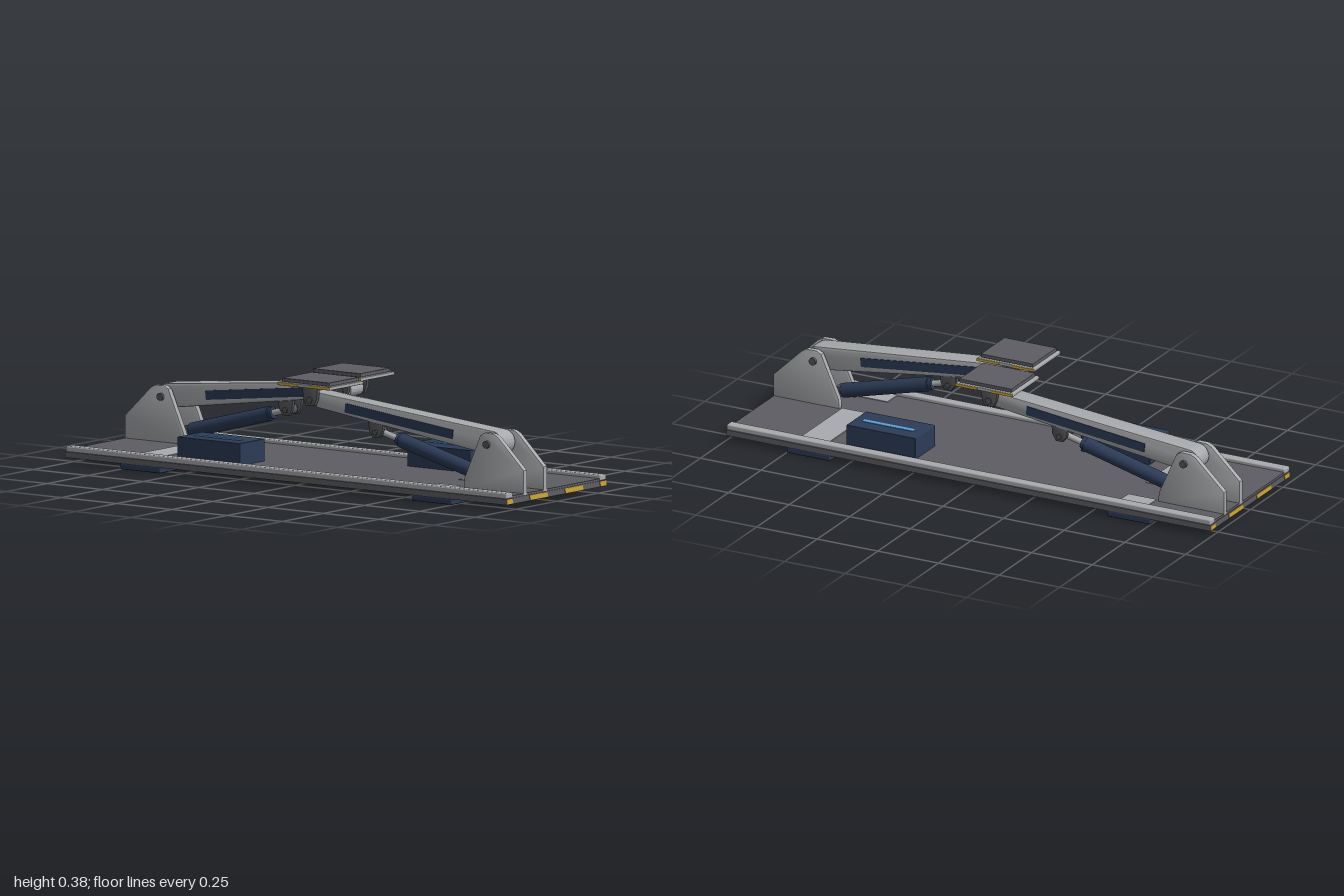
import * as THREE from 'three';
import { toCreasedNormals } from 'three/addons/utils/BufferGeometryUtils.js';
import { RoundedBoxGeometry } from 'three/addons/geometries/RoundedBoxGeometry.js';

const material = (name, color) => {
  const m = new THREE.MeshStandardMaterial({ color });
  m.name = name;
  return m;
};

export function createModel() {
  const metal = material('light metal', 0xa9abae);
  const deckGrey = material('deck grey', 0x5e5d63);
  const joint = material('joint grey', 0x57585c);
  const navy = material('navy', 0x2c3b57);
  const yellow = material('safety yellow', 0xcfa634);
  const blue = material('light blue', 0x5aa0d8);

  const add = (parent, name, geometry, mat, x = 0, y = 0, z = 0) => {
    const mesh = new THREE.Mesh(geometry, mat);
    mesh.name = name;
    mesh.position.set(x, y, z);
    parent.add(mesh);
    return mesh;
  };

  // Box given by its limits, optionally with softened edges
  const box = (parent, name, mat, [x0, x1], [y0, y1], [z0, z1], r = 0) => {
    const s = [x1 - x0, y1 - y0, z1 - z0];
    const g = r ? new RoundedBoxGeometry(...s, 2, r) : new THREE.BoxGeometry(...s);
    return add(parent, name, g, mat, (x0 + x1) / 2, (y0 + y1) / 2, (z0 + z1) / 2);
  };

  // Side profile extruded to a total thickness centred on z
  const plate = (parent, name, mat, shape, thick, z, bevel = 0.003) => {
    const g = new THREE.ExtrudeGeometry(shape, {
      depth: thick - 2 * bevel, bevelEnabled: bevel > 0, bevelSize: bevel,
      bevelThickness: bevel, bevelOffset: -bevel, bevelSegments: 2, curveSegments: 16,
    });
    g.translate(0, 0, bevel - thick / 2);
    return add(parent, name, toCreasedNormals(g, 0.6), mat, 0, 0, z);
  };

  const polygon = (pts) => new THREE.Shape(pts.map(([x, y]) => new THREE.Vector2(x, y)));

  // Cylinder between two points
  const rod = (parent, name, mat, a, b, r) => {
    const p = new THREE.Vector3(...a), q = new THREE.Vector3(...b);
    const d = q.clone().sub(p);
    const mesh = add(parent, name, new THREE.CylinderGeometry(r, r, d.length(), 24), mat);
    mesh.position.copy(p).add(q).multiplyScalar(0.5);
    mesh.quaternion.setFromUnitVectors(new THREE.Vector3(0, 1, 0), d.normalize());
    return mesh;
  };

  const pin = (parent, name, x, y, z, length, r, headR) => {
    rod(parent, name, joint, [x, y, z - length / 2], [x, y, z + length / 2], r);
    for (const s of [-1, 1]) {
      const e = z + s * length / 2;
      rod(parent, name + 'Head', joint, [x, y, e - s * 0.01], [x, y, e], headR);
    }
  };

  const ZC = 0.127; // centre plane of one lifting arm
  const pivot = [0.832, 0.217], tip = [0.024, 0.309], R = 0.045, r = 0.028;

  function liftArm() {
    const g = new THREE.Group();

    // Pivot brackets
    const bracket = polygon([[0.725, 0.045], [0.997, 0.045], [0.997, 0.135], [0.88, 0.248],
      [0.86, 0.258], [0.82, 0.259], [0.80, 0.248], [0.728, 0.085]]);
    for (const s of [-1, 1]) plate(g, 'pivotBracket', metal, bracket, 0.022, ZC + s * 0.061);
    pin(g, 'pivotPin', ...pivot, ZC, 0.164, 0.01, 0.014);

    // Tapered arm with round ends
    const dx = pivot[0] - tip[0], dy = pivot[1] - tip[1];
    const tilt = Math.atan2(dy, dx);
    const spread = Math.acos((r - R) / Math.hypot(dx, dy));
    const arm = new THREE.Shape();
    arm.absarc(...pivot, R, tilt - spread, tilt + spread, false);
    arm.absarc(...tip, r, tilt + spread, tilt - spread + Math.PI * 2, false);
    plate(g, 'arm', metal, arm, 0.08, ZC, 0.005);
    for (const s of [-1, 1]) {
      const panel = add(g, 'armPanel', new THREE.BoxGeometry(0.49, 0.034, 0.004), navy,
        0.41, 0.262, ZC + s * 0.041);
      panel.rotation.z = tilt;
    }

    // Hydraulic ram
    const base = [0.76, 0.09], end = [0.298, 0.21];
    const at = (t) => [base[0] + (end[0] - base[0]) * t, base[1] + (end[1] - base[1]) * t, ZC];
    pin(g, 'ramBasePin', ...base, ZC, 0.13, 0.008, 0.008);
    rod(g, 'ramBaseEye', joint, [...base, ZC - 0.02], [...base, ZC + 0.02], 0.021);
    rod(g, 'ramCylinder', navy, at(0.03), at(0.8), 0.027);
    rod(g, 'ramCollar', navy, at(0.78), at(0.83), 0.022);
    rod(g, 'ramRod', metal, at(0.8), at(1), 0.012);
    rod(g, 'ramRodEye', joint, [...end, ZC - 0.014], [...end, ZC + 0.014], 0.019);

    // Lug under the arm
    const lug = polygon([[0.264, 0.262], [0.268, 0.215], [0.283, 0.19], [0.312, 0.19],
      [0.328, 0.213], [0.334, 0.255]]);
    for (const s of [-1, 1]) plate(g, 'ramLug', joint, lug, 0.014, ZC + s * 0.027, 0.002);
    pin(g, 'ramLugPin', ...end, ZC, 0.08, 0.007, 0.01);

    // Platform on its clevis
    const ear = polygon([[-0.035, 0.358], [-0.03, 0.315], [-0.018, 0.29], [0.018, 0.29],
      [0.03, 0.315], [0.035, 0.358]].map(([x, y]) => [x + tip[0], y - 0.003]));
    for (const s of [-1, 1]) plate(g, 'platformEar', joint, ear, 0.017, ZC + s * 0.057, 0.002);
    pin(g, 'platformPin', ...tip, ZC, 0.142, 0.009, 0.012);
    const px = tip[0];
    box(g, 'platformPlate', metal, [px - 0.118, px + 0.118], [0.357, 0.37], [ZC - 0.101, ZC + 0.101], 0.003);
    box(g, 'platformPad', deckGrey, [px - 0.108, px + 0.108], [0.37, 0.384], [ZC - 0.091, ZC + 0.091], 0.002);
    for (const s of [-1, 1]) for (const x of [-0.073, 0.073]) {
      add(g, 'platformEdgeStripe', new THREE.BoxGeometry(0.09, 0.01, 0.004), yellow,
        px + x, 0.3635, ZC + s * 0.102);
    }
    return g;
  }

  function half() {
    const g = new THREE.Group();
    const arm = liftArm();
    arm.name = 'liftArm';
    g.add(arm);

    // Side rail, floor plates and feet
    box(g, 'sideRail', metal, [-0.998, 0.998], [0.043, 0.064], [0.266, 0.305], 0.005);
    box(g, 'floorPlate', metal, [0.6, 0.715], [0.048, 0.054], [-0.266, 0.06]);
    box(g, 'floorPlate', metal, [0.6, 0.715], [0.048, 0.054], [0.192, 0.266]);
    for (const x of [-0.66, 0.66]) {
      box(g, 'foot', navy, [x - 0.09, x + 0.09], [0, 0.021], [0.185, 0.305], 0.004);
    }

    // Control box with light strip
    box(g, 'controlBox', navy, [-0.53, -0.245], [0.048, 0.133], [0.103, 0.255], 0.003);
    box(g, 'lightStrip', blue, [-0.495, -0.285], [0.131, 0.135], [0.179, 0.199]);

    // Slanted hazard stripes on the end face
    for (const [a, b] of [[-0.305, -0.267], [-0.163, -0.053], [0.053, 0.161], [0.265, 0.305]]) {
      const lean = (v) => (Math.abs(v) > 0.3 ? v : v + 0.006);
      const stripe = plate(g, 'hazardStripe', yellow,
        polygon([[-b, 0.023], [-a, 0.023], [-lean(a), 0.041], [-lean(b), 0.041]]), 0.003, 0, 0);
      stripe.rotation.y = Math.PI / 2;
      stripe.position.x = 0.9985;
    }
    return g;
  }

  const model = new THREE.Group();
  model.name = 'twinArmLift';
  box(model, 'deck', deckGrey, [-0.998, 0.998], [0.021, 0.043], [-0.305, 0.305]);
  box(model, 'deckMat', deckGrey, [-0.995, 0.995], [0.042, 0.051], [-0.267, 0.267]);

  // The two halves match under a half turn
  for (let i = 0; i < 2; i++) {
    const h = half();
    h.name = i ? 'backHalf' : 'frontHalf';
    h.rotation.y = i * Math.PI;
    model.add(h);
  }
  return model;
}
